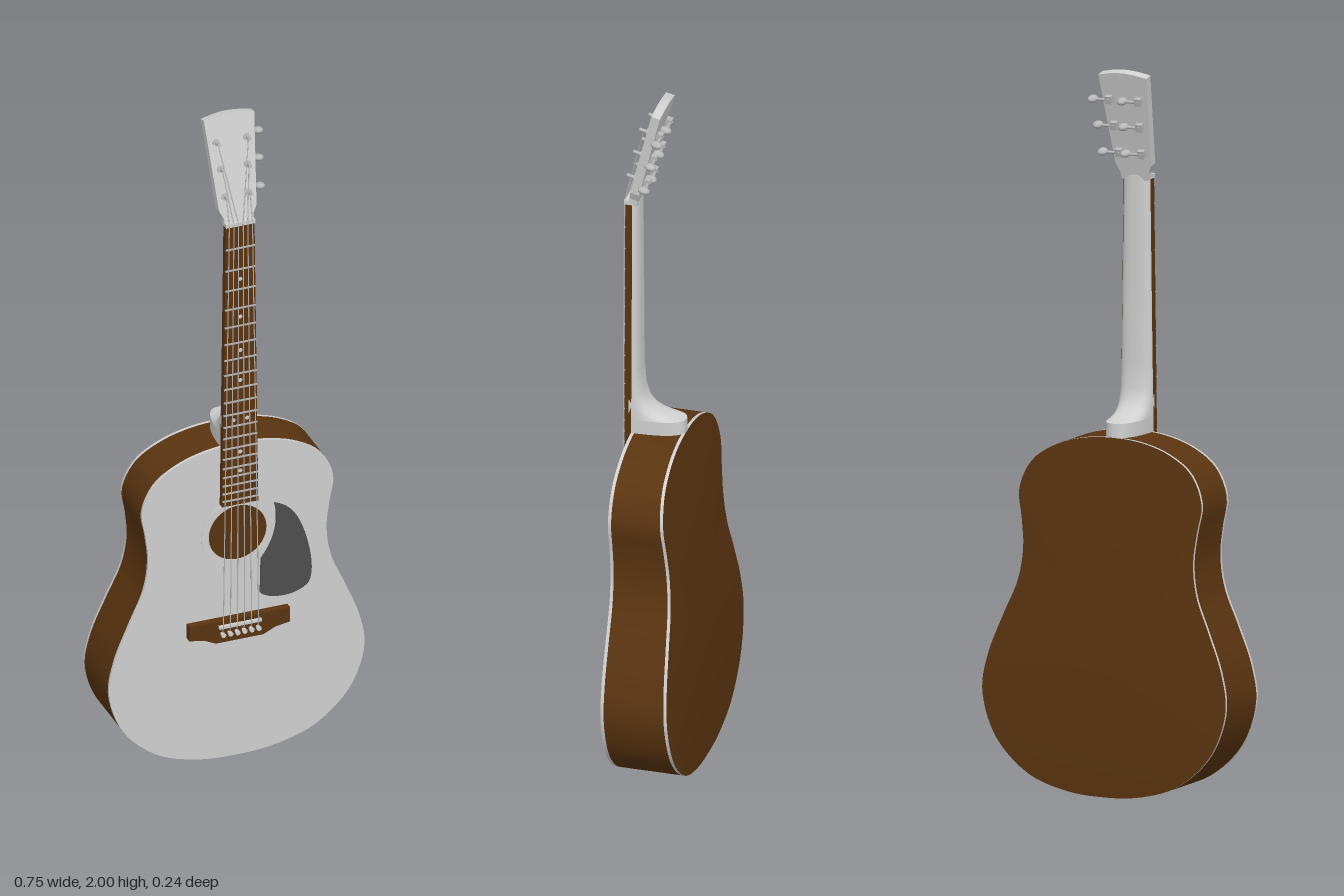
import * as THREE from 'three';

const mat = (name, color, side = THREE.FrontSide) => {
  const m = new THREE.MeshStandardMaterial({ color, side });
  m.name = name;
  return m;
};

export function createModel() {
  const pale = mat('pale finish', 0xd0d0d0, THREE.DoubleSide);
  const brown = mat('brown wood', 0x5a3410, THREE.DoubleSide);
  const dark = mat('dark grey', 0x4e4e4e);
  const metal = mat('metal', 0xb8b8b8);

  const guitar = new THREE.Group();
  guitar.name = 'guitar';
  const add = (name, geometry, material, parent = guitar) => {
    const mesh = new THREE.Mesh(geometry, material);
    mesh.name = name;
    parent.add(mesh);
    return mesh;
  };
  const box = (name, w, h, d, x, y, z, material, parent) => {
    const mesh = add(name, new THREE.BoxGeometry(w, h, d), material, parent);
    mesh.position.set(x, y, z);
    return mesh;
  };
  // Straight rod between two points
  const rod = (name, a, b, radius, material, parent, sides = 12) => {
    const from = new THREE.Vector3(...a), to = new THREE.Vector3(...b);
    const dir = to.clone().sub(from);
    const mesh = add(name, new THREE.CylinderGeometry(radius, radius, dir.length(), sides), material, parent);
    mesh.position.copy(from).add(to).multiplyScalar(0.5);
    mesh.quaternion.setFromUnitVectors(new THREE.Vector3(0, 1, 0), dir.normalize());
    return mesh;
  };
  // Smooth skin over rows of points
  const skin = (rows, closed) => {
    const n = rows[0].length, index = [];
    for (let r = 0; r < rows.length - 1; r++) {
      for (let i = 0; i < (closed ? n : n - 1); i++) {
        const j = (i + 1) % n, p = r * n, q = p + n;
        index.push(p + i, p + j, q + j, p + i, q + j, q + i);
      }
    }
    const g = new THREE.BufferGeometry();
    g.setAttribute('position', new THREE.Float32BufferAttribute(rows.flat(2), 3));
    g.setIndex(index);
    g.computeVertexNormals();
    return g;
  };
  const shapeOf = pts => new THREE.Shape(pts.map(p => new THREE.Vector2(p[0], p[1])));
  const slab = (shape, depth) =>
    new THREE.ExtrudeGeometry(shape, { depth, bevelEnabled: false, curveSegments: 24 });
  const mirrored = half => [...half, ...half.slice().reverse().map(([x, y]) => [-x, y])];

  // Body outline, bottom to top on the +x side, then mirrored
  const half = [[0, 0.003], [0.11, 0.011], [0.23, 0.05], [0.332, 0.145], [0.375, 0.27], [0.36, 0.37],
    [0.317, 0.48], [0.275, 0.58], [0.262, 0.67], [0.27, 0.75], [0.281, 0.83], [0.245, 0.91],
    [0.175, 0.958], [0.09, 0.984], [0, 0.991]];
  const ring = [...half, ...half.slice(1, -1).reverse().map(([x, y]) => [-x, y])];
  const outline = new THREE.CatmullRomCurve3(ring.map(([x, y]) => new THREE.Vector3(x, y, 0)), true)
    .getSpacedPoints(140).slice(0, -1).map(p => [p.x, p.y]);
  const frontZ = y => 0.078 + 0.011 * y;
  const backZ = y => -0.117 + 0.062 * Math.pow(Math.max(y, 0), 1.5);
  const edge = zOf => outline.map(([x, y]) => [x, y, zOf(y)]);
  const bind = 0.009;

  add('sides', skin([edge(y => backZ(y) + bind), edge(y => frontZ(y) - bind)], true), brown);
  add('frontBinding', skin([edge(y => frontZ(y) - bind), edge(frontZ)], true), pale);
  add('backBinding', skin([edge(backZ), edge(y => backZ(y) + bind)], true), pale);

  // Slightly domed back
  const backRows = [0, 0.2, 0.4, 0.6, 0.8, 0.92, 1].map(r => outline.map(([x, y]) => {
    const yy = 0.45 + (y - 0.45) * r;
    return [x * r, yy, backZ(yy) - 0.01 * (1 - r * r)];
  }));
  add('back', skin(backRows, true), brown);

  // Soundboard with round hole, leaning with the front edge
  const holeY = 0.71;
  const board = shapeOf(outline);
  board.holes.push(new THREE.Path().absarc(0, holeY, 0.085, 0, Math.PI * 2, true));
  const boardGeo = new THREE.ShapeGeometry(board, 48);
  const bp = boardGeo.attributes.position;
  for (let i = 0; i < bp.count; i++) bp.setZ(i, frontZ(bp.getY(i)));
  boardGeo.computeVertexNormals();
  add('soundboard', boardGeo, pale);

  // Rosette, pickguard and bridge lie on the soundboard
  const onTop = mesh => {
    mesh.position.z = frontZ(0);
    mesh.rotation.x = Math.atan(0.011);
    return mesh;
  };
  const rosette = new THREE.Shape().absarc(0, holeY, 0.106, 0, Math.PI * 2);
  rosette.holes.push(new THREE.Path().absarc(0, holeY, 0.085, 0, Math.PI * 2, true));
  onTop(add('rosette', slab(rosette, 0.002), pale));

  const guard = new THREE.Shape();
  guard.moveTo(0.107, 0.782);
  guard.quadraticCurveTo(0.128, 0.69, 0.068, 0.612);
  guard.lineTo(0.066, 0.505);
  guard.bezierCurveTo(0.09, 0.48, 0.165, 0.47, 0.205, 0.505);
  guard.bezierCurveTo(0.228, 0.53, 0.215, 0.61, 0.2, 0.66);
  guard.bezierCurveTo(0.18, 0.73, 0.155, 0.765, 0.107, 0.782);
  onTop(add('pickguard', slab(guard, 0.004), dark));

  onTop(add('bridge', slab(shapeOf([[-0.148, 0.45], [-0.148, 0.405], [-0.105, 0.398], [-0.07, 0.381],
    [0.07, 0.381], [0.105, 0.398], [0.148, 0.405], [0.148, 0.45]]), 0.02), brown));
  box('saddle', 0.125, 0.008, 0.01, 0, 0.432, 0.107, pale);

  // Fingerboard with frets and dots
  const nutY = 1.69, scaleLen = 1.26, endY = 0.81;
  const boardHalf = y => 0.042 + 0.011 * (nutY - y) / (nutY - endY);
  const fretY = n => nutY - scaleLen * (1 - Math.pow(2, -n / 12));
  add('fingerboard', slab(shapeOf([[-0.053, endY], [0.053, endY], [0.042, nutY], [-0.042, nutY]]), 0.019), brown)
    .position.z = 0.088;
  for (let n = 1; n <= 20; n++) {
    const y = fretY(n);
    box('fret', boardHalf(y) * 2, 0.005, 0.004, 0, y, 0.107, metal);
  }
  const dot = (x, y) => rod('inlayDot', [x, y, 0.106], [x, y, 0.108], 0.006, pale);
  for (const n of [3, 5, 7, 9, 12, 15, 17]) {
    const y = (fretY(n) + fretY(n - 1)) / 2;
    if (n === 12) { dot(-0.02, y); dot(0.02, y); } else dot(0, y);
  }
  box('nut', 0.086, 0.012, 0.022, 0, nutY + 0.006, 0.1, pale);

  // Neck flowing into the heel: [y, half width, front z, back z]
  const stations = [[0.975, 0.05, 0.095, -0.056], [1.03, 0.05, 0.095, -0.055], [1.03, 0.05, 0.095, -0.055],
    [1.034, 0.05, 0.095, -0.03], [1.041, 0.05, 0.095, 0], [1.053, 0.05, 0.095, 0.028],
    [1.075, 0.05, 0.095, 0.05], [1.11, 0.049, 0.095, 0.063], [1.18, 0.048, 0.095, 0.069],
    [1.4, 0.045, 0.095, 0.07], [1.69, 0.041, 0.095, 0.072], [1.715, 0.04, 0.088, 0.072]];
  const neckRows = stations.map(([y, w, f, b]) => Array.from({ length: 25 }, (_, i) => {
    const a = Math.PI * i / 24, c = Math.cos(a), e = 2 / 2.6;
    return [Math.sign(c) * w * Math.pow(Math.abs(c), e), y, f - (f - b) * Math.pow(Math.abs(Math.sin(a)), e)];
  }));
  add('neck', skin(neckRows, false), pale);

  // Headstock tilted backwards
  const head = new THREE.Group();
  head.name = 'headstock';
  head.position.set(0, nutY + 0.002, 0.1);
  head.rotation.x = -0.25;
  guitar.add(head);
  const headShape = shapeOf(mirrored([[0.041, 0], [0.043, 0.02], [0.055, 0.045], [0.074, 0.308],
    [0.04, 0.315], [0.012, 0.318]]));
  add('headPlate', slab(headShape, 0.025), pale, head).position.z = -0.025;

  // Tuners; both columns turn their buttons to the same side
  const posts = [[0.035, 0.083], [0.039, 0.163], [0.045, 0.24]];
  for (const side of [-1, 1]) {
    for (const [px, s] of posts) {
      const x = side * px;
      rod('tunerPost', [x, s, -0.044], [x, s, 0.026], 0.005, metal, head);
      rod('tunerWasher', [x, s, 0], [x, s, 0.005], 0.01, metal, head, 16);
      box('tunerHousing', 0.02, 0.022, 0.016, x, s, -0.034, metal, head);
      rod('tunerStem', [x, s, -0.038], [x + 0.042, s, -0.038], 0.004, metal, head);
      const button = add('tunerButton', new THREE.SphereGeometry(1, 16, 12), metal, head);
      button.scale.set(0.014, 0.01, 0.017);
      button.position.set(x + 0.048, s, -0.038);
    }
  }

  // Strings and bridge pins
  for (let i = 0; i < 6; i++) {
    const t = i / 2.5 - 1, side = t < 0 ? -1 : 1;
    const [px, s] = posts[i < 3 ? i : 5 - i];
    const x = t * 0.052, nutX = t * 0.034;
    rod('bridgePin', [x, 0.41, 0.095], [x, 0.41, 0.112], 0.005, pale);
    rod('bridgePinHead', [x, 0.41, 0.11], [x, 0.41, 0.118], 0.007, pale);
    rod('stringEnd', [x, 0.41, 0.106], [x, 0.432, 0.113], 0.0015, metal, guitar, 6);
    rod('string', [x, 0.432, 0.113], [nutX, nutY + 0.006, 0.112], 0.0015, metal, guitar, 6);
    rod('headString', [nutX, 0.004, 0.012], [side * px, s, 0.014], 0.0015, metal, head, 6);
  }
  return guitar;
}
